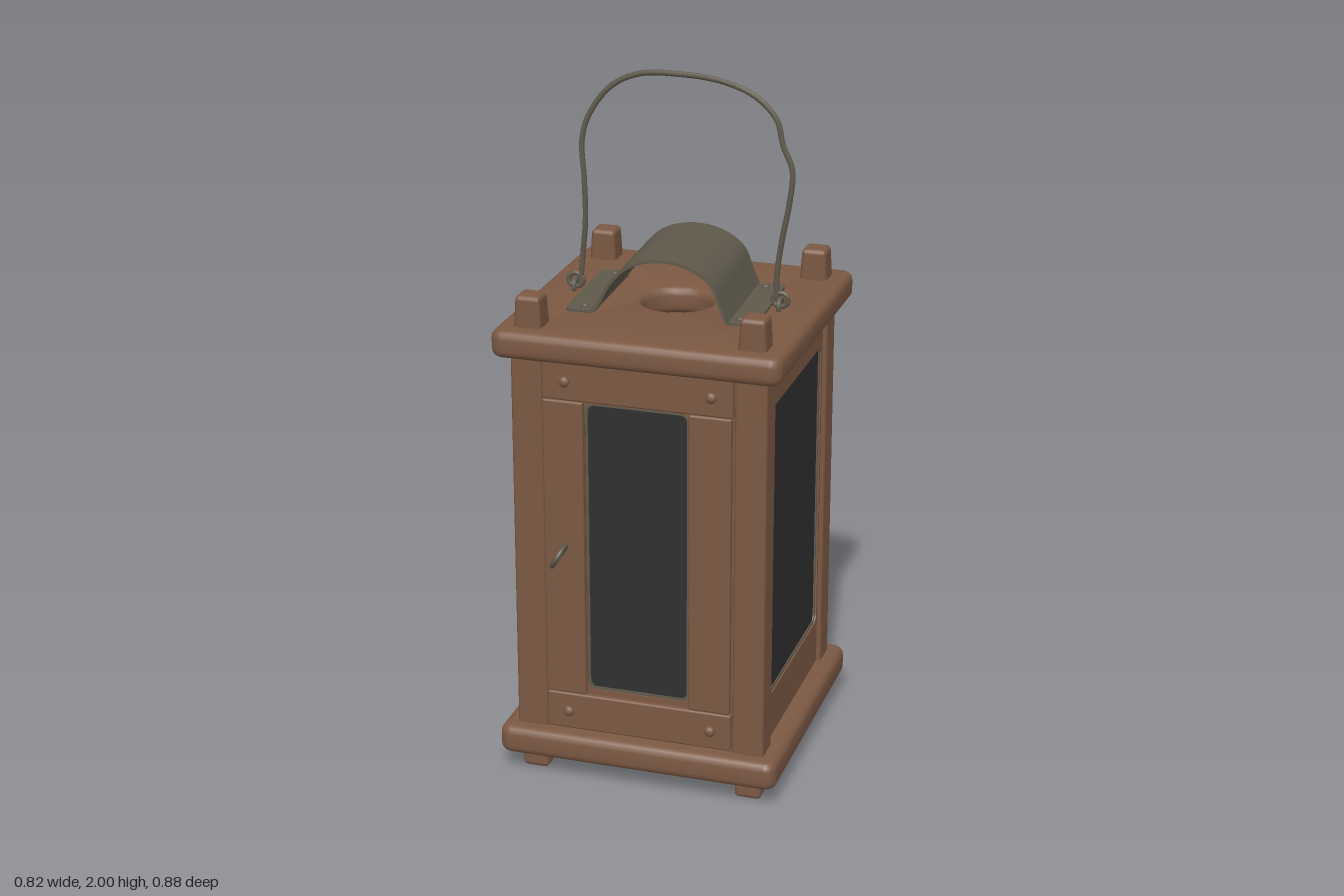
import * as THREE from 'three';
import { toCreasedNormals } from 'three/addons/utils/BufferGeometryUtils.js';
import { RoundedBoxGeometry } from 'three/addons/geometries/RoundedBoxGeometry.js';

const wood = new THREE.MeshStandardMaterial({ name: 'brown wood', color: 0x7b5843 });
const glass = new THREE.MeshStandardMaterial({ name: 'dark pane', color: 0x303030 });
const metal = new THREE.MeshStandardMaterial({ name: 'aged metal', color: 0x5f594b });

function add(parent, name, geometry, material, x = 0, y = 0, z = 0) {
  const mesh = new THREE.Mesh(geometry, material);
  mesh.name = name;
  mesh.position.set(x, y, z);
  parent.add(mesh);
  return mesh;
}

const block = (w, h, d, r = 0.01) => new RoundedBoxGeometry(w, h, d, 2, r);

// Rounded rectangle outline, usable as a shape or a hole
function roundRect(path, w, h, r, cx = 0, cy = 0) {
  const x = w / 2 - r, y = h / 2 - r;
  path.absarc(cx + x, cy + y, r, 0, Math.PI / 2);
  path.absarc(cx - x, cy + y, r, Math.PI / 2, Math.PI);
  path.absarc(cx - x, cy - y, r, Math.PI, Math.PI * 1.5);
  path.absarc(cx + x, cy - y, r, Math.PI * 1.5, Math.PI * 2);
  path.closePath();
  return path;
}

function extrude(shape, depth, bevel = 0) {
  const geometry = new THREE.ExtrudeGeometry(shape, {
    depth: depth - 2 * bevel, bevelEnabled: bevel > 0, bevelSize: bevel,
    bevelOffset: -bevel, bevelThickness: bevel, bevelSegments: 4, curveSegments: 8,
  });
  geometry.translate(0, 0, bevel);
  return toCreasedNormals(geometry, 0.7);
}

// Square peg that narrows toward its top
function peg(h) {
  const geometry = block(0.084, h, 0.084, 0.014);
  const p = geometry.attributes.position;
  for (let i = 0; i < p.count; i++) {
    const s = 1 - 0.16 * (p.getY(i) / h + 0.5);
    p.setXYZ(i, p.getX(i) * s, p.getY(i), p.getZ(i) * s);
  }
  return geometry;
}

// Wooden panel with a rounded opening and a pane set into it, facing +z
function wall(name, w, h, cx, cy, face) {
  const group = new THREE.Group();
  group.name = name;
  const panel = new THREE.Shape([[-0.285, 0.14], [0.285, 0.14], [0.285, 1.28], [-0.285, 1.28]]
    .map(([x, y]) => new THREE.Vector2(x, y)));
  panel.holes.push(roundRect(new THREE.Path(), w, h, 0.025, cx, cy));
  add(group, 'panelFrame', extrude(panel, 0.03), wood, 0, 0, face - 0.03);
  const rim = roundRect(new THREE.Shape(), w + 0.005, h + 0.005, 0.025);
  rim.holes.push(roundRect(new THREE.Path(), w - 0.014, h - 0.014, 0.02));
  add(group, 'paneRim', extrude(rim, 0.012), metal, cx, cy, face - 0.017);
  add(group, 'pane', extrude(roundRect(new THREE.Shape(), w + 0.004, h + 0.004, 0.025), 0.009), glass, cx, cy, face - 0.018);
  return group;
}

export function createModel() {
  const model = new THREE.Group();
  model.name = 'lantern';
  const body = new THREE.Group();
  body.name = 'lanternBody';
  body.position.z = -0.027;
  model.add(body);

  // Base board and top board with smoke hole
  const base = add(body, 'baseBoard', extrude(roundRect(new THREE.Shape(), 0.824, 0.824, 0.035), 0.085, 0.024), wood, 0, 0.06, 0);
  base.rotation.x = -Math.PI / 2;
  const topShape = roundRect(new THREE.Shape(), 0.824, 0.824, 0.035);
  topShape.holes.push(new THREE.Path().absarc(0, 0, 0.1, 0, Math.PI * 2));
  const top = add(body, 'topBoard', extrude(topShape, 0.08, 0.024), wood, 0, 1.272, 0);
  top.rotation.x = -Math.PI / 2;

  // Corner posts, with pegs above and feet below
  for (const x of [-1, 1]) for (const z of [-1, 1]) {
    add(body, 'cornerPost', block(0.092, 1.16, 0.092), wood, x * 0.321, 0.71, z * 0.321);
    add(body, 'topPeg', peg(0.12), wood, x * 0.319, 1.38, z * 0.319);
    add(body, 'foot', block(0.078, 0.1, 0.078, 0.014), wood, x * 0.319, 0.05, z * 0.319);
  }

  // Side and back walls
  ['leftWall', 'backWall', 'rightWall'].forEach((name, i) => {
    const side = wall(name, 0.53, 0.88, 0, 0.72, 0.354);
    side.rotation.y = (i + 1) * Math.PI / 2;
    body.add(side);
  });

  // Door
  const door = wall('door', 0.3, 0.872, -0.005, 0.715, 0.358);
  body.add(door);
  for (const y of [0.207, 1.213]) {
    add(door, 'doorRail', block(0.546, 0.112, 0.03, 0.006), wood, 0, y, 0.358);
    for (const x of [-0.208, 0.212]) {
      const pin = add(door, 'doorPin', new THREE.SphereGeometry(0.016, 12, 8), wood, x, y, 0.374);
      pin.scale.z = 0.8;
    }
  }
  add(door, 'leftStile', block(0.122, 0.892, 0.03, 0.006), wood, 0.208, 0.71, 0.358);
  add(door, 'rightStile', block(0.118, 0.892, 0.03, 0.006), wood, -0.215, 0.71, 0.358);

  // Ring pull on the door
  const pull = new THREE.Group();
  pull.name = 'ringPull';
  pull.position.set(-0.212, 0.714, 0.427);
  pull.rotation.z = -0.52;
  door.add(pull);
  add(pull, 'ring', new THREE.TorusGeometry(0.034, 0.007, 8, 28), metal).rotation.y = Math.PI / 2;
  add(pull, 'ringShank', new THREE.CylinderGeometry(0.006, 0.006, 0.04, 8), metal, 0, 0, -0.05).rotation.x = Math.PI / 2;

  // Arched heat shield with riveted flanges
  const shield = new THREE.Group();
  shield.name = 'heatShield';
  shield.position.y = 1.352;
  shield.rotation.y = 0.035;
  body.add(shield);
  const curve = new THREE.CatmullRomCurve3([[-0.205, 0.004], [-0.18, 0.035], [-0.15, 0.09], [-0.1, 0.142], [-0.04, 0.166],
    [0.03, 0.17], [0.1, 0.15], [0.15, 0.11], [0.175, 0.05], [0.195, 0.004]].map(([x, y]) => new THREE.Vector3(x, y, 0)));
  const outer = [], inner = [];
  for (let i = 0; i <= 40; i++) {
    const p = curve.getPoint(i / 40), t = curve.getTangent(i / 40);
    outer.push(new THREE.Vector2(p.x, p.y));
    inner.unshift(new THREE.Vector2(p.x + t.y * 0.009, p.y - t.x * 0.009));
  }
  add(shield, 'arch', extrude(new THREE.Shape([...outer, ...inner]), 0.366), metal, 0, 0, -0.183);
  for (const x of [-0.234, 0.228]) {
    const flange = add(shield, 'flange', extrude(roundRect(new THREE.Shape(), 0.084, 0.366, 0.02), 0.008), metal, x, 0, 0);
    flange.rotation.x = -Math.PI / 2;
    for (const z of [-0.148, 0.148]) {
      const rivet = add(shield, 'rivet', new THREE.SphereGeometry(0.011, 12, 8), metal, x - Math.sign(x) * 0.008, 0.009, z);
      rivet.scale.y = 0.7;
    }
  }

  // Bent wire handle in its eyelets
  const wire = new THREE.CatmullRomCurve3([[-0.288, 1.375, 0], [-0.28, 1.46, 0], [-0.27, 1.56, 0.004], [-0.272, 1.68, 0.004],
    [-0.28, 1.79, -0.004], [-0.262, 1.86, -0.01], [-0.2, 1.945, -0.018], [-0.12, 1.985, -0.024], [0, 1.992, -0.026],
    [0.12, 1.982, -0.022], [0.22, 1.947, -0.014], [0.28, 1.89, -0.008], [0.3, 1.82, -0.004], [0.328, 1.755, 0],
    [0.322, 1.66, 0.004], [0.302, 1.55, 0.004], [0.288, 1.44, 0], [0.29, 1.375, 0]].map((p) => new THREE.Vector3(...p)));
  add(body, 'handle', new THREE.TubeGeometry(wire, 120, 0.008, 8), metal);
  for (const x of [-0.302, 0.3]) {
    add(body, 'eyelet', new THREE.TorusGeometry(0.02, 0.007, 8, 20), metal, x, 1.362, 0).rotation.y = Math.PI / 2;
    const hook = add(body, 'handleHook', new THREE.TorusGeometry(0.02, 0.007, 8, 20), metal, x, 1.38, 0);
    hook.scale.x = 1.1;
  }
  return model;
}
